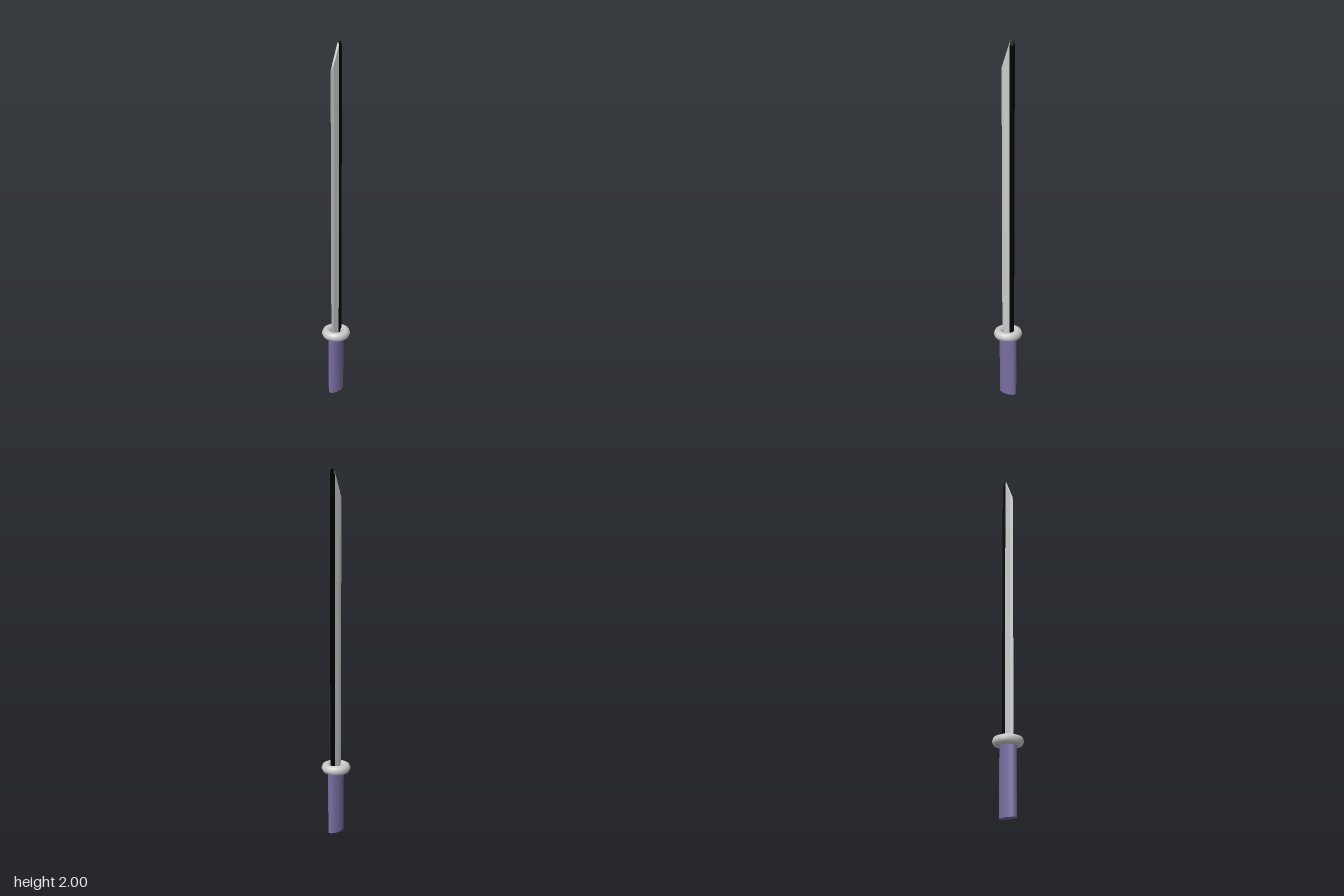
import * as THREE from 'three';

const paint = (color, flatShading = false) => new THREE.MeshStandardMaterial({ color, flatShading });

function part(name, geometry, material) {
  const mesh = new THREE.Mesh(geometry, material);
  mesh.name = name;
  return mesh;
}

// Upright bar: outline in x/z, with a pointed roof whose height depends on z
function bar(outline, bottom, ridgeAt, bevel, halfWidth) {
  const n = outline.length, pos = [], index = [];
  for (const [x, z] of outline) pos.push(x, bottom, z);
  for (const [x, z] of outline) pos.push(x, ridgeAt(z) - bevel * Math.abs(x) / halfWidth, z);
  for (let i = 0; i < n; i++) {
    const j = (i + 1) % n;
    index.push(i, j, i + n, j, j + n, i + n);
  }
  // caps fan out from the first outline point, which lies on the ridge
  for (let i = 1; i < n - 1; i++) index.push(0, i + 1, i, n, n + i, n + i + 1);
  const geo = new THREE.BufferGeometry();
  geo.setAttribute('position', new THREE.Float32BufferAttribute(pos, 3));
  geo.setIndex(index);
  const flat = geo.toNonIndexed();
  flat.computeVertexNormals();
  return flat;
}

export function createModel() {
  const group = new THREE.Group();
  const w = 0.0075, joint = -0.015, back = -0.037, edge = 0.04;
  const bladeBottom = 0.355, top = 2, shoulder = 1.86;

  // Oval grip
  const gripGeo = new THREE.CylinderGeometry(1, 1, 0.37, 32);
  gripGeo.scale(0.03, 1, 0.055);
  gripGeo.translate(0, 0.185, 0);
  group.add(part('grip', gripGeo, paint(0x786ea2)));

  // Ring guard
  const guardGeo = new THREE.TorusGeometry(0.0545, 0.027, 8, 48);
  guardGeo.rotateX(Math.PI / 2);
  guardGeo.translate(0, 0.379, 0);
  group.add(part('guard', guardGeo, paint(0xcccccc)));

  // Blade with a ground edge facing forward and a slanted tip
  const slant = z => top - (top - shoulder) * (z - joint) / (edge - joint);
  const bladeOutline = [[0, joint], [-w, joint], [-w * 0.8, 0.022], [0, edge], [w * 0.8, 0.022], [w, joint]];
  group.add(part('blade', bar(bladeOutline, bladeBottom, slant, 0.015, w), paint(0xcccccc, true)));

  // Dark spine along the back of the blade
  const spineOutline = [[0, back], [-w, back], [-w, joint], [0, joint], [w, joint], [w, back]];
  group.add(part('spine', bar(spineOutline, bladeBottom, () => top, 0.03, w), paint(0x000000, true)));

  return group;
}
